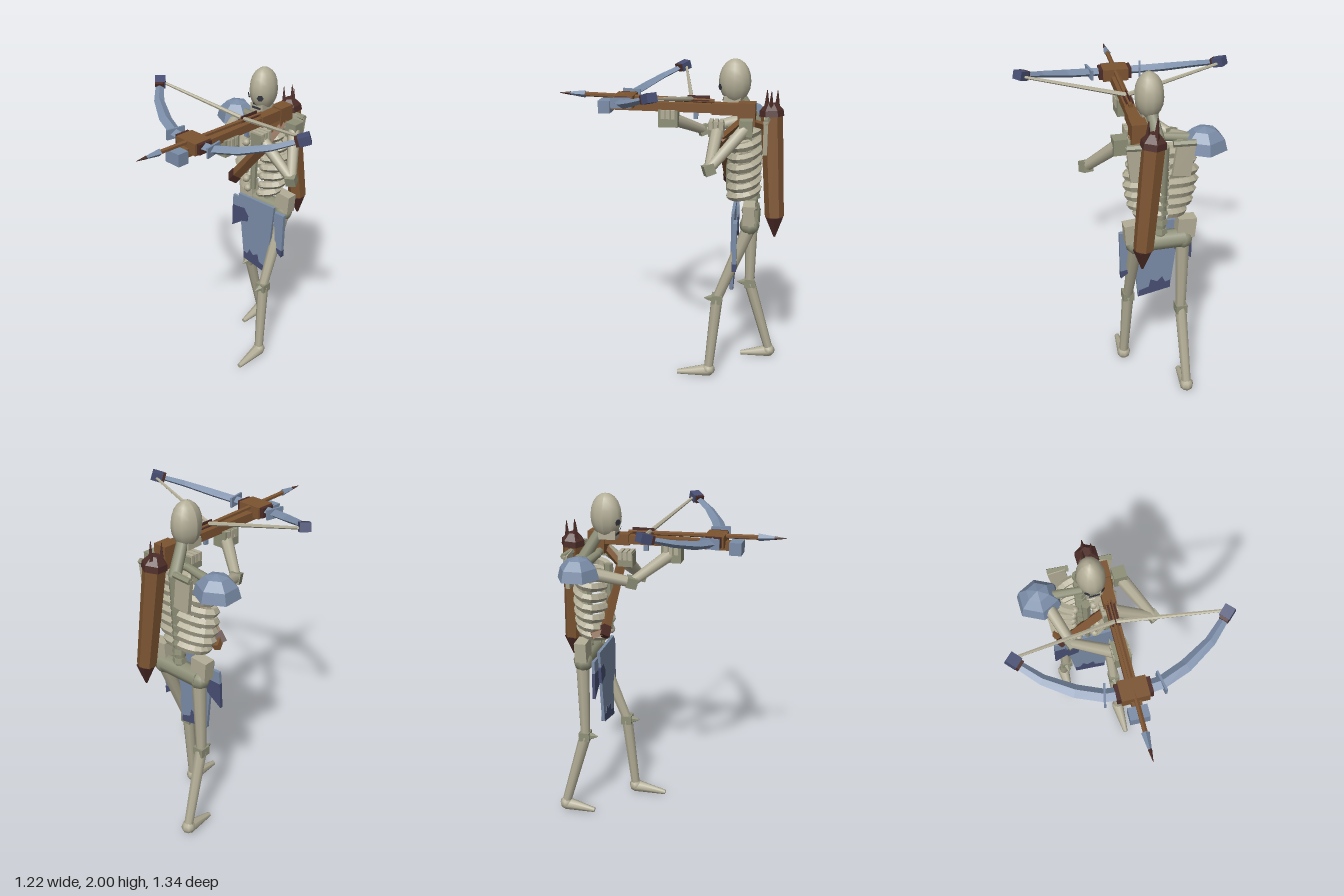
import * as THREE from 'three';

const mat = (name, color) => {
  const m = new THREE.MeshStandardMaterial({ color });
  m.name = name;
  return m;
};
const V = (a) => new THREE.Vector3(...a);

export function createModel() {
  const bone = mat('bone', 0xb2ad96), oldBone = mat('darkBone', 0x8f9078);
  const wood = mat('wood', 0x7c5431), darkWood = mat('darkWood', 0x4c2c27);
  const steel = mat('steel', 0x7b8da8), darkSteel = mat('darkSteel', 0x474e72);
  const socket = mat('socket', 0x34363f);
  const root = new THREE.Group();

  const flat = (g) => {
    const f = g.index ? g.toNonIndexed() : g;
    f.computeVertexNormals();
    return f;
  };
  const add = (name, geo, m, pos = [0, 0, 0], parent = root) => {
    const mesh = new THREE.Mesh(geo, m);
    mesh.name = name;
    mesh.position.set(...pos);
    parent.add(mesh);
    return mesh;
  };
  const box = (name, size, pos, m, parent = root, rot = [0, 0, 0]) => {
    const b = add(name, new THREE.BoxGeometry(...size), m, pos, parent);
    b.rotation.set(...rot);
    return b;
  };
  // Tapered rod from a (radius ra) to b (radius rb)
  const rod = (name, a, b, ra, rb, m, sides = 8, parent = root) => {
    const A = V(a), B = V(b), d = B.clone().sub(A);
    let g = new THREE.CylinderGeometry(rb, ra, d.length(), sides);
    if (sides < 8) g = flat(g);
    const mesh = add(name, g, m, A.clone().add(B).multiplyScalar(0.5).toArray(), parent);
    mesh.quaternion.setFromUnitVectors(new THREE.Vector3(0, 1, 0), d.normalize());
    return mesh;
  };
  const ball = (name, r, pos, m) => add(name, new THREE.SphereGeometry(r, 8, 6), m, pos);
  const plate = (name, pts, z, depth, m) => {
    const s = new THREE.Shape(pts.map((p) => new THREE.Vector2(...p)));
    return add(name, new THREE.ExtrudeGeometry(s, { depth, bevelEnabled: false }), m, [0, 0, z - depth / 2]);
  };

  // Skull narrows towards the jaw
  const skull = new THREE.SphereGeometry(1, 12, 10);
  const p = skull.attributes.position;
  for (let i = 0; i < p.count; i++) {
    const y = p.getY(i), k = y < -0.3 ? 1 + (y + 0.3) * 0.1 : 1;
    p.setXYZ(i, p.getX(i) * 0.079 * k, y * 0.13, p.getZ(i) * 0.093 * k);
  }
  skull.computeVertexNormals();
  add('skull', skull, bone, [-0.057, 1.87, -0.363]);
  box('jaw', [0.09, 0.05, 0.1], [-0.057, 1.765, -0.35], bone);
  for (const s of [-1, 1]) {
    add('eyeSocket', new THREE.CircleGeometry(0.02, 6), socket, [-0.057 + s * 0.043, 1.842, -0.281]).rotation.set(0.12, s * 0.6, 0);
  }
  add('noseHole', new THREE.CircleGeometry(0.013, 3), socket, [-0.057, 1.80, -0.279]).rotation.set(0.35, 0, Math.PI / 2);
  box('mouth', [0.06, 0.012, 0.006], [-0.057, 1.768, -0.299], socket);

  // Spine, neck and sternum
  rod('neck', [-0.09, 1.62, -0.5], [-0.06, 1.78, -0.4], 0.035, 0.032, oldBone);
  rod('spine', [-0.1, 1.0, -0.48], [-0.1, 1.64, -0.51], 0.032, 0.032, oldBone);
  for (let i = 0; i < 9; i++) {
    rod('vertebra', [-0.1, 1.1 + i * 0.06, -0.49], [-0.1, 1.13 + i * 0.06, -0.49], 0.042, 0.036, oldBone, 6);
  }
  rod('sternum', [-0.105, 1.2, -0.34], [-0.1, 1.6, -0.345], 0.018, 0.028, oldBone, 6);

  // Ribs
  const widths = [0.14, 0.175, 0.19, 0.19, 0.18, 0.165, 0.13];
  widths.forEach((w, i) => {
    for (const s of [-1, 1]) {
      const pts = [];
      for (let j = 0; j <= 6; j++) {
        const t = 0.1 + j * 0.44;
        pts.push(new THREE.Vector3(-0.11 + s * w * Math.sin(t), 1.6 - i * 0.062 - 0.008 * j, -0.43 - 0.085 * Math.cos(t)));
      }
      const g = new THREE.TubeGeometry(new THREE.CatmullRomCurve3(pts), 9, 0.026, 5, false);
      const rib = add('rib', flat(g), bone);
      rib.material = bone;
      ball('ribEnd', 0.025, pts[6].toArray(), bone);
    }
  });

  // Shoulder girdle
  rod('collarBone', [-0.33, 1.63, -0.44], [-0.1, 1.65, -0.41], 0.03, 0.022, oldBone);
  rod('collarBone', [0.12, 1.64, -0.44], [-0.1, 1.65, -0.41], 0.03, 0.022, oldBone);
  for (const x of [-0.2, 0.05]) {
    box('shoulderBlade', [0.1, 0.2, 0.025], [x, 1.58, -0.55], bone, root, [0, 0, x < -0.1 ? 0.12 : -0.12]);
    rod('shoulderBladeRidge', [x - 0.06, 1.67, -0.56], [x + 0.06, 1.67, -0.55], 0.018, 0.018, oldBone, 6);
  }

  // Arms: shoulder, elbow, hand
  const arms = [
    { name: 'right', s: [-0.32, 1.61, -0.45], e: [-0.235, 1.54, -0.17], h: [-0.02, 1.65, 0.0], hand: [0.09, 0.1, 0.115], at: [-0.005, 1.66, 0.015] },
    { name: 'left', s: [0.12, 1.64, -0.44], e: [0.265, 1.43, -0.245], h: [0.03, 1.59, -0.27], hand: [0.08, 0.08, 0.09], at: [0.01, 1.605, -0.265] },
  ];
  for (const a of arms) {
    box(a.name + 'Shoulder', [0.075, 0.09, 0.075], a.s, oldBone);
    rod(a.name + 'UpperArm', a.s, a.e, 0.038, 0.03, bone);
    box(a.name + 'Elbow', [0.06, 0.06, 0.06], a.e, oldBone, root, [0.3, 0.4, 0]);
    rod(a.name + 'Forearm', a.e, a.h, 0.028, 0.038, bone);
    box(a.name + 'Hand', a.hand, a.at, oldBone);
    for (let i = 0; i < 3; i++) {
      box(a.name + 'Finger', [a.hand[0] + 0.012, 0.05, 0.022], [a.at[0], a.at[1] + 0.025, a.at[2] - 0.03 + i * 0.03], bone);
    }
  }

  // Pelvis
  rod('pelvisBar', [-0.24, 1.04, -0.48], [0.04, 1.04, -0.48], 0.055, 0.055, oldBone);
  for (const s of [-1, 1]) {
    box('hipWing', [0.105, 0.12, 0.07], [-0.1 + s * 0.15, 1.11, -0.47], bone, root, [0, 0, -s * 0.08]);
    ball('hipJoint', 0.06, [-0.1 + s * 0.135, 1.03, -0.475], oldBone);
  }

  // Legs in mid-stride
  const legs = [
    { name: 'left', hip: [0.035, 1.03, -0.48], knee: [0.035, 0.54, -0.29], ankle: [0.05, 0.06, -0.245], toe: [0.05, 0.018, -0.045] },
    { name: 'right', hip: [-0.235, 1.03, -0.48], knee: [-0.242, 0.54, -0.48], ankle: [-0.256, 0.06, -0.62], toe: [-0.256, 0.018, -0.435] },
  ];
  for (const l of legs) {
    const [x, y, z] = l.knee;
    rod(l.name + 'Thigh', l.hip, l.knee, 0.042, 0.03, bone);
    box(l.name + 'Knee', [0.068, 0.055, 0.065], l.knee, oldBone);
    rod(l.name + 'KneeSpike', [x, y, z + 0.02], [x, y, z + 0.08], 0.03, 0.003, oldBone, 6);
    rod(l.name + 'Shin', l.knee, l.ankle, 0.036, 0.028, bone);
    ball(l.name + 'Ankle', 0.042, [l.ankle[0], 0.05, l.ankle[2]], bone);
    const foot = rod(l.name + 'Foot', [l.ankle[0], 0.045, l.ankle[2]], l.toe, 0.04, 0.015, bone);
    foot.scale.x = 1.0;
  }

  // Cloth panels with stained edges
  plate('frontPanel', [[-0.25, 1.1], [-0.2, 0.63], [-0.005, 0.59], [0.045, 1.1]], -0.375, 0.018, steel);
  plate('frontPanelStain', [[-0.2, 0.628], [-0.2, 0.68], [-0.17, 0.67], [-0.15, 0.71], [-0.12, 0.68], [-0.08, 0.7], [-0.07, 0.65], [-0.01, 0.63], [-0.005, 0.588]], -0.375, 0.024, darkSteel);
  plate('frontPanelStain', [[-0.25, 1.0], [-0.2, 1.01], [-0.165, 0.96], [-0.17, 0.92], [-0.24, 0.9]], -0.375, 0.024, darkSteel);
  plate('rightPanel', [[-0.31, 1.065], [-0.315, 0.99], [-0.22, 0.99], [-0.22, 1.06]], -0.39, 0.018, steel);
  plate('rightPanelStain', [[-0.315, 0.99], [-0.32, 0.83], [-0.22, 0.9], [-0.22, 0.99]], -0.39, 0.018, darkSteel);
  plate('leftPanel', [[0.035, 1.06], [0.055, 0.79], [0.105, 0.755], [0.113, 1.06]], -0.392, 0.024, steel);
  plate('leftPanelStain', [[0.054, 0.81], [0.055, 0.788], [0.105, 0.752], [0.107, 0.8]], -0.392, 0.028, darkSteel);

  // Domed shoulder guard
  const dome = flat(new THREE.SphereGeometry(0.132, 6, 3, Math.PI / 6 - Math.PI / 3, Math.PI * 2, 0, Math.PI / 2));
  add('shoulderGuard', dome, steel, [-0.34, 1.575, -0.447]).scale.set(1, 0.95, 0.92);
  const base = add('shoulderGuardBase', new THREE.CircleGeometry(0.132, 6), steel, [-0.34, 1.575, -0.447]);
  base.rotation.set(Math.PI / 2, 0, Math.PI / 6);
  base.scale.y = 0.92;

  // Quiver and bolts on the back
  const top = [-0.025, 1.69, -0.58], low = [0.03, 1.09, -0.62];
  rod('quiver', low, top, 0.056, 0.064, wood, 6);
  rod('quiverRim', [-0.024, 1.68, -0.58], [-0.027, 1.715, -0.578], 0.072, 0.068, darkWood, 6);
  rod('quiverLid', [-0.027, 1.715, -0.578], [-0.03, 1.755, -0.575], 0.068, 0.03, darkWood, 6);
  rod('quiverFoot', low, [0.035, 0.965, -0.625], 0.058, 0.006, darkWood, 6);
  for (const [x, z] of [[-0.05, -0.55], [0.005, -0.575], [-0.035, -0.61]]) {
    rod('spareBolt', [x, 1.71, z], [x - 0.005, 1.825, z], 0.018, 0.002, darkWood, 4);
  }

  // Strap across the chest
  const strap = (name, a, b, m, w = 0.055) => {
    const r = rod(name, a, b, w / 2, w / 2, m, 4);
    r.scale.z = 0.8;
  };
  strap('strap', [-0.255, 1.24, -0.33], [0.02, 1.56, -0.305], wood, 0.075);
  strap('strap', [0.02, 1.56, -0.305], [0.05, 1.67, -0.42], wood);
  strap('strap', [0.05, 1.67, -0.42], [0.0, 1.62, -0.56], wood);
  strap('strap', [-0.255, 1.24, -0.33], [-0.29, 1.22, -0.4], wood);
  strap('strapEnd', [-0.275, 1.215, -0.33], [-0.235, 1.265, -0.328], darkWood, 0.085);

  // Crossbow, slightly turned
  const bow = new THREE.Group();
  bow.name = 'crossbow';
  bow.rotation.y = -0.047;
  root.add(bow);
  box('stockFront', [0.055, 0.05, 0.6], [0, 1.725, 0.06], wood, bow);
  box('stockRear', [0.07, 0.064, 0.25], [0, 1.724, -0.365], wood, bow);
  box('stockButt', [0.085, 0.13, 0.1], [0, 1.7, -0.44], wood, bow);
  box('trigger', [0.02, 0.04, 0.025], [0, 1.68, -0.145], steel, bow);
  box('stirrup', [0.105, 0.073, 0.07], [-0.002, 1.717, 0.39], steel, bow);
  box('bowBlock', [0.15, 0.07, 0.115], [0, 1.755, 0.27], wood, bow);
  rod('bolt', [0, 1.765, -0.25], [0, 1.782, 0.52], 0.013, 0.014, wood, 6, bow);
  rod('boltHead', [0, 1.782, 0.51], [0, 1.785, 0.665], 0.022, 0.001, steel, 4, bow);
  rod('boltTip', [0, 1.784, 0.6], [0, 1.785, 0.668], 0.011, 0.001, darkWood, 4, bow);
  box('fletching', [0.045, 0.005, 0.13], [0, 1.769, -0.16], darkWood, bow);
  box('fletching', [0.005, 0.04, 0.13], [0, 1.775, -0.16], darkWood, bow);

  // Bow limb: diamond sections lofted along a curve
  const limb = [[-0.56, 0.02, 1.875, 0.6], [-0.44, 0.13, 1.828, 0.8], [-0.29, 0.215, 1.787, 1], [-0.15, 0.265, 1.765, 1], [0, 0.275, 1.76, 1]];
  const path = [...limb, ...limb.slice(0, 4).reverse().map(([x, z, y, k]) => [-x, z, y, k])];
  const pos = [], idx = [];
  path.forEach(([x, z, y, k], i) => {
    const a = path[Math.max(i - 1, 0)], b = path[Math.min(i + 1, path.length - 1)];
    const L = Math.hypot(b[0] - a[0], b[1] - a[1]);
    const nx = -(b[1] - a[1]) / L * 0.037 * k, nz = (b[0] - a[0]) / L * 0.037 * k, h = 0.025 * k;
    pos.push(x, y + h, z, x + nx, y, z + nz, x, y - h, z, x - nx, y, z - nz);
    if (i) for (let j = 0; j < 4; j++) {
      const o = (i - 1) * 4, q = (j + 1) % 4;
      idx.push(o + j, o + q, o + 4 + j, o + q, o + 4 + q, o + 4 + j);
    }
  });
  const limbGeo = new THREE.BufferGeometry();
  limbGeo.setAttribute('position', new THREE.Float32BufferAttribute(pos, 3));
  limbGeo.setIndex(idx);
  add('bowLimbs', flat(limbGeo), steel, [0, 0, 0], bow);
  for (const s of [-1, 1]) {
    box('limbTip', [0.065, 0.05, 0.06], [s * 0.56, 1.878, 0.015], darkSteel, bow, [0, s * 0.75, s * 0.3]);
    box('limbTipBand', [0.02, 0.045, 0.05], [s * 0.535, 1.868, 0.043], darkWood, bow, [0, s * 0.75, s * 0.3]);
    box('limbRing', [0.012, 0.06, 0.115], [s * 0.15, 1.765, 0.265], steel, bow, [0, s * 0.2, 0]);
    box('bowBlockEnd', [0.022, 0.06, 0.09], [s * 0.085, 1.758, 0.27], darkWood, bow);
    rod('bowString', [s * 0.56, 1.875, 0.0], [0, 1.775, -0.12], 0.008, 0.013, bone, 6, bow);
  }
  return root;
}
